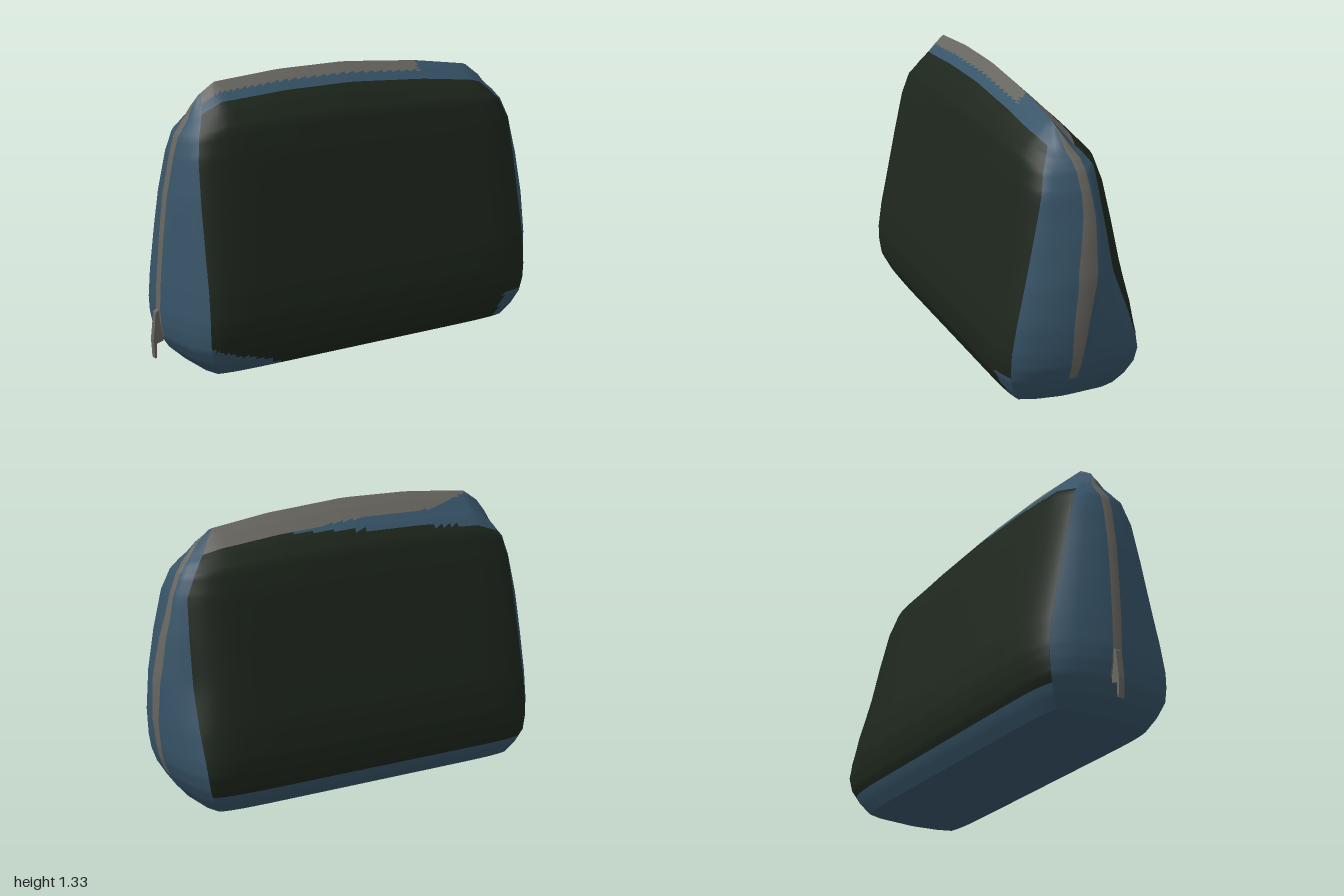
import * as THREE from 'three';

const green = new THREE.MeshStandardMaterial({ color: 0x1d261c });
const blue = new THREE.MeshStandardMaterial({ color: 0x375468 });
const grey = new THREE.MeshStandardMaterial({ color: 0x67655f });
green.name = 'darkGreenCloth';
blue.name = 'blueTrim';
grey.name = 'greyZip';
const GREEN = 0, BLUE = 1, GREY = 2;

// height, end tips (left, right of frame), half depth, panel edges, crest sag share
const KEY_ROWS = [
  [0.00, -0.84, 0.84, 0.255, -0.80, 0.80, 0],
  [0.06, -0.905, 0.89, 0.297, -0.835, 0.84, 0],
  [0.13, -0.95, 0.935, 0.333, -0.86, 0.87, 0],
  [0.20, -0.965, 0.965, 0.344, -0.865, 0.885, 0],
  [0.27, -0.97, 0.98, 0.347, -0.865, 0.89, 0],
  [0.40, -0.965, 0.995, 0.332, -0.86, 0.895, 0],
  [0.60, -0.95, 0.995, 0.291, -0.855, 0.89, 0],
  [0.80, -0.93, 0.965, 0.249, -0.85, 0.885, 0],
  [1.00, -0.895, 0.92, 0.206, -0.84, 0.875, 0.1],
  [1.13, -0.87, 0.88, 0.170, -0.82, 0.835, 0.35],
  [1.21, -0.835, 0.85, 0.117, -0.79, 0.79, 0.65],
  [1.25, -0.81, 0.82, 0.081, -0.77, 0.755, 0.8],
  [1.295, -0.79, 0.78, 0.041, -0.755, 0.72, 0.9],
  [1.335, -0.76, 0.70, 0, -0.74, 0.68, 1],
];
const STEPS = 4;
const ROWS = KEY_ROWS.slice(1).flatMap((b, i) => Array.from({ length: STEPS }, (_, k) =>
  KEY_ROWS[i].map((v, j) => v + (b[j] - v) * k / STEPS)));
ROWS.push(KEY_ROWS[KEY_ROWS.length - 1]);

const N = 44;              // columns on each large face
const END = 5;             // columns on each end
const RING = 2 * (N + END);

// Linear lookup in a short list of pairs
function lookup(list, x) {
  if (x <= list[0][0]) return list[0][1];
  for (let i = 1; i < list.length; i++) {
    const [a, b] = [list[i - 1], list[i]];
    if (x <= b[0]) return a[1] + (b[1] - a[1]) * (x - a[0]) / (b[0] - a[0]);
  }
  return list[list.length - 1][1];
}
const sag = x => lookup([[-0.86, 0.15], [-0.76, 0.085], [-0.68, 0.03], [-0.35, 0.003],
  [0, 0], [0.4, 0.033], [0.68, 0.075], [0.86, 0.14]], x);
const zipRight = y => lookup([[0.15, 0.03], [0.4, 0.015], [0.6, -0.015], [0.9, -0.045], [1.2, -0.035]], y);
const zipRightHalf = y => lookup([[0.15, 0.02], [0.4, 0.035], [0.65, 0.045], [1, 0.022]], y);
const zipLeft = y => lookup([[0.15, -0.04], [1.1, -0.02]], y);
// how far the cloth edges turn in, as a share of the depth
const turnFront = y => 0.08 + 0.2 * y;
const turnBack = y => 0.08 + 0.05 * y;
const turnBackRight = y => lookup([[0.2, 0.09], [0.6, 0.36], [1, 0.42], [1.2, 0.25]], y);

// Points of one horizontal ring, counter-clockwise from the front left corner
function ringPoints([y, L, R, d, pL, pR, w]) {
  const out = [];
  // the whole bag sits slightly skewed
  const lean = -0.01 + 0.022 * (y / 1.335), skew = 0.02 * Math.min(1, d * 5);
  const add = (x, z) => out.push([x, y - sag(x) * w, z + lean - skew * x]);
  const face = (i, sign) => {
    const s = sign * Math.sin((i / N - 0.5) * Math.PI);
    const turn = sign > 0 ? turnFront(y) : s > 0 ? turnBackRight(y) : turnBack(y);
    add((pL + pR) / 2 + s * (pR - pL) / 2, sign * d * (1 - turn * Math.abs(s) ** 11));
  };
  const shoulder = (p, tip, turn, sign) =>
    add(p + (tip - p) * 0.64, sign * d * Math.min(0.64, (1 - turn) * 0.72));
  const strip = (tip, zip, width, sign) => {
    const half = Math.min(width, d * 0.25);
    const mid = THREE.MathUtils.clamp(zip, -d * 0.3, d * 0.3);
    add(tip, mid + sign * half);
    add(tip, mid - sign * half);
  };
  for (let i = 0; i <= N; i++) face(i, 1);
  shoulder(pR, R, turnFront(y), 1);
  strip(R, zipRight(y), zipRightHalf(y), 1);
  shoulder(pR, R, turnBackRight(y), -1);
  for (let i = 0; i <= N; i++) face(i, -1);
  shoulder(pL, L, turnBack(y), -1);
  strip(L, zipLeft(y), 0.024, -1);
  shoulder(pL, L, turnFront(y), 1);
  return out;
}

// Colour of one triangle of the shell, by column, x and height before sagging
function cellColour(c, x, y) {
  if (c < N) { // front, with slanted blue corners at the foot
    if (y < 0.15) return x > -0.45 - 2.8 * y && x < 0.75 ? GREEN : BLUE;
    if (y < 1.25) return GREEN;
    return y > 1.29 && x < 0.4 ? GREY : BLUE;
  }
  if (c >= N + END && c < 2 * N + END) { // back, blue band widening to one side
    if (y < 0.1) return BLUE;
    if (y < lookup([[-0.75, 1.17], [0, 1.2], [0.35, 1.24]], x)) return GREEN;
    return y > lookup([[-0.7, 1.33], [-0.45, 1.255], [0.3, 1.24]], x) ? GREY : BLUE;
  }
  return (c === N + 2 || c === 2 * N + END + 2) && y > 0.13 ? GREY : BLUE;
}

function bagShell() {
  const pts = ROWS.map(ringPoints);
  const flat = pts.flat();
  const cells = [[], [], []];
  const triangle = (c, ...ids) => {
    const x = ids.reduce((sum, i) => sum + flat[i][0], 0) / 3;
    const y = ids.reduce((sum, i) => sum + ROWS[Math.floor(i / RING)][0], 0) / 3;
    cells[cellColour(c, x, y)].push(...ids);
  };
  for (let r = 0; r < ROWS.length - 1; r++) {
    for (let c = 0; c < RING; c++) {
      const a = r * RING + c, b = r * RING + (c + 1) % RING;
      triangle(c, a, b, b + RING);
      triangle(c, a, b + RING, a + RING);
    }
  }
  const geo = new THREE.BufferGeometry();
  geo.setAttribute('position', new THREE.Float32BufferAttribute(flat.flat(), 3));
  geo.setIndex(cells.flat());
  let start = 0;
  cells.forEach((list, m) => { geo.addGroup(start, list.length, m); start += list.length; });
  geo.computeVertexNormals();
  return new THREE.Mesh(geo, [green, blue, grey]);
}

// Flat base closing the lowest ring
function bagBase() {
  const ring = ringPoints(ROWS[0]);
  const index = [];
  for (let c = 0; c < RING; c++) index.push(RING, (c + 1) % RING, c);
  const geo = new THREE.BufferGeometry();
  geo.setAttribute('position', new THREE.Float32BufferAttribute([...ring.flat(), 0, 0, 0], 3));
  geo.setIndex(index);
  geo.computeVertexNormals();
  return new THREE.Mesh(geo, blue);
}

// Loose zip end hanging at the lower corner
function zipTape() {
  const shape = new THREE.Shape();
  [[-0.95, 0.11], [-0.95, 0.28], [-0.985, 0.25], [-1, 0.12], [-0.995, 0.03], [-0.985, 0.03], [-0.985, 0.1]]
    .forEach(([x, y], i) => (i ? shape.lineTo(x, y) : shape.moveTo(x, y)));
  const geo = new THREE.ExtrudeGeometry(shape, { depth: 0.03, bevelEnabled: false });
  geo.translate(0, 0, -0.045);
  return new THREE.Mesh(geo, grey);
}

export function createModel() {
  const group = new THREE.Group();
  group.name = 'washBag';
  const add = (mesh, name) => { mesh.name = name; group.add(mesh); };
  add(bagShell(), 'bagBody');
  add(bagBase(), 'bagBase');
  add(zipTape(), 'zipTapeEnd');
  return group;
}
